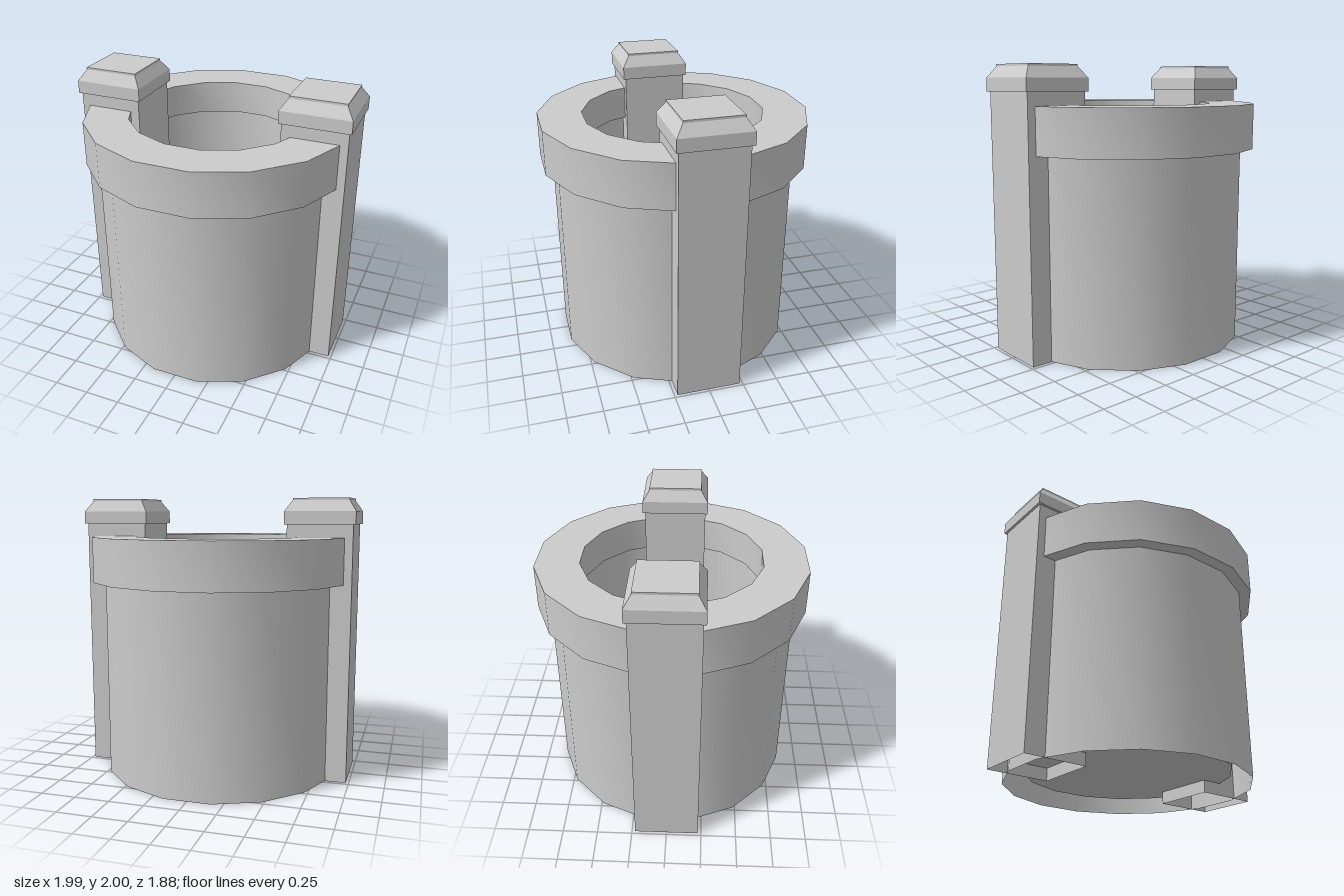
import * as THREE from 'three';
import { toCreasedNormals } from 'three/addons/utils/BufferGeometryUtils.js';

const material = new THREE.MeshStandardMaterial({ color: 0xcccccc, side: THREE.DoubleSide });

// Turned part with a given number of sides, a flat side facing front
function turned(name, profile, sides, crease) {
  const points = profile.map(([r, y]) => new THREE.Vector2(r / Math.cos(Math.PI / sides), y));
  const lathe = new THREE.LatheGeometry(points, sides, Math.PI / sides);
  const mesh = new THREE.Mesh(toCreasedNormals(lathe, crease), material);
  mesh.name = name;
  return mesh;
}

export function createModel() {
  const model = new THREE.Group();
  model.name = 'bucket';

  // Shell: outer wall (open below), thick rim, inner wall and raised floor
  model.add(turned('bucketShell', [
    [0.855, 0], [0.855, 1.41],
    [0.94, 1.41], [0.94, 1.73],
    [0.632, 1.73], [0.632, 1.49],
    [0.72, 1.49], [0.72, 0.09], [0, 0.09],
  ], 16, 0.6));

  // Square posts with bevelled caps, open below
  for (const side of [-1, 1]) {
    const post = new THREE.Group();
    post.name = side > 0 ? 'leftPost' : 'rightPost';
    post.add(turned('postShaft', [[0.227, 0], [0.227, 1.82]], 4, 0.3));
    post.add(turned('postCap', [
      [0, 1.82], [0.244, 1.82], [0.244, 1.91],
      [0.194, 1.985], [0.194, 2], [0, 2],
    ], 4, 0.3));
    post.position.x = side * 0.753;
    model.add(post);
  }
  return model;
}
